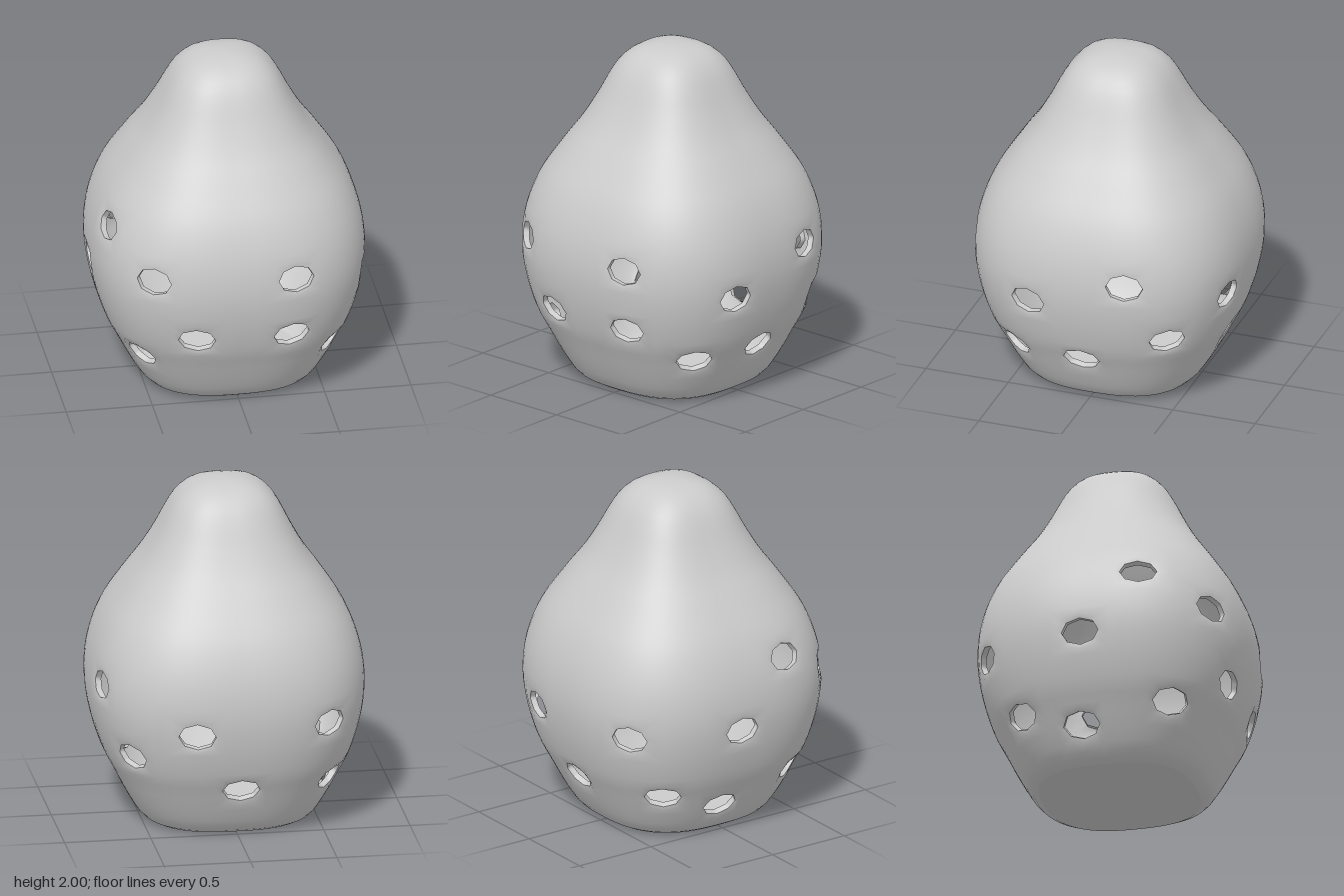
import * as THREE from 'three';
import { mergeVertices } from 'three/addons/utils/BufferGeometryUtils.js';

const COLS = 84, ROWS = 52, HALF = 3, POWER = 2.65;

// Body outline as [half width, height]
const outline = new THREE.CatmullRomCurve3([
  [0.45, 0], [0.5, 0.03], [0.55, 0.1], [0.605, 0.2], [0.655, 0.3], [0.705, 0.4], [0.765, 0.6],
  [0.79, 0.8], [0.77, 1.0], [0.7, 1.2], [0.575, 1.4], [0.47, 1.55], [0.385, 1.7],
  [0.335, 1.8], [0.28, 1.89], [0.2, 1.96], [0.1, 1.992], [0, 2],
].map(([r, y]) => new THREE.Vector3(r, y, 0)), false, 'centripetal');
outline.arcLengthDivisions = 1000;

// Holes as [x, y, z] of their centres
const holes = [
  [-0.5, 0.88, 0.64], [0.285, 0.875, 0.735], [-0.27, 0.5, 0.7], [0.27, 0.495, 0.7],
  [-0.55, 0.3, 0.43], [0.55, 0.3, 0.43], [0.74, 0.69, 0.29], [-0.7, 1.07, 0.27],
  [0.74, 0.875, -0.285], [0.64, 0.315, 0], [0.58, 0.5, -0.48], [0.26, 0.68, -0.735],
  [0, 0.31, -0.64], [-0.51, 0.7, -0.66], [-0.535, 0.3, -0.44], [-0.58, 0.19, -0.08],
  [-0.77, 0.7, -0.05],
];

// Rounded-square section: distance from the axis for a unit half width
function squareness(a) {
  return (Math.abs(Math.sin(a)) ** POWER + Math.abs(Math.cos(a)) ** POWER) ** (-1 / POWER);
}

// Point on the body; u counts columns round the axis, v counts rows upward
function surface(u, v) {
  const p = outline.getPointAt(THREE.MathUtils.clamp(v / ROWS, 0, 1));
  const a = (u / COLS) * Math.PI * 2;
  const r = Math.max(p.x, 0) * squareness(a);
  return new THREE.Vector3(r * Math.sin(a), p.y, r * Math.cos(a));
}

function outwardNormal(u, v) {
  const du = surface(u + 0.2, v).sub(surface(u - 0.2, v));
  const dv = surface(u, v + 0.2).sub(surface(u, v - 0.2));
  return du.cross(dv).normalize();
}

// Row whose height is y
function rowAt(y) {
  let lo = 0, hi = ROWS;
  for (let i = 0; i < 30; i++) {
    const mid = (lo + hi) / 2;
    if (surface(0, mid).y < y) lo = mid; else hi = mid;
  }
  return lo;
}

function meshFrom(points, index, name, material) {
  let geo = new THREE.BufferGeometry();
  geo.setAttribute('position', new THREE.Float32BufferAttribute(points.flatMap((p) => p.toArray()), 3));
  geo.setIndex(index);
  geo = mergeVertices(geo, 1e-5);
  geo.computeVertexNormals();
  const mesh = new THREE.Mesh(geo, material);
  mesh.name = name;
  return mesh;
}

export function createModel() {
  const group = new THREE.Group();
  group.name = 'perforatedShell';
  const material = new THREE.MeshStandardMaterial({ color: 0xcccccc, side: THREE.DoubleSide });
  const points = [], index = [], rimPoints = [], rimIndex = [];

  const quad = (list, out, a, b, c, d) => {
    const n = list.length;
    list.push(a, b, c, d);
    out.push(n, n + 1, n + 2, n, n + 2, n + 3);
  };
  // Band of quads between two closed loops
  const band = (list, out, outer, inner) => outer.forEach((p, i) => {
    const j = (i + 1) % outer.length;
    quad(list, out, p, outer[j], inner[j], inner[i]);
  });

  // Each hole replaces a block of cells with rings that shrink to an octagon
  const removed = new Set();
  for (const [x, y, z] of holes) {
    const u = ((Math.atan2(x, z) / (Math.PI * 2) + 1) % 1) * COLS;
    const v = rowAt(y);
    const u0 = Math.round(u) - HALF, v0 = Math.max(0, Math.round(v) - HALF), size = HALF * 2;
    for (let i = 0; i < size; i++) {
      for (let j = 0; j < size; j++) removed.add(((u0 + i + COLS) % COLS) + ',' + (v0 + j));
    }
    const border = [];
    for (let i = 0; i < size; i++) border.push([u0 + i, v0]);
    for (let i = 0; i < size; i++) border.push([u0 + size, v0 + i]);
    for (let i = 0; i < size; i++) border.push([u0 + size - i, v0 + size]);
    for (let i = 0; i < size; i++) border.push([u0, v0 + size - i]);

    const ru = 0.108 / surface(u + 0.5, v).distanceTo(surface(u - 0.5, v));
    const rv = 0.08 / surface(u, v + 0.5).distanceTo(surface(u, v - 0.5));
    const normal = outwardNormal(u, v);
    const edge = border.map((_, k) => {
      const a = (k / border.length) * Math.PI * 2 - Math.PI * 0.75;
      const off = ((a + Math.PI * 4) % (Math.PI / 4)) - Math.PI / 8;
      const r = Math.cos(Math.PI / 8) / Math.cos(off);
      return [u + ru * r * Math.cos(a), v + rv * r * Math.sin(a)];
    });
    const ring = (t) => border.map((b, k) => surface(
      THREE.MathUtils.lerp(b[0], edge[k][0], t), THREE.MathUtils.lerp(b[1], edge[k][1], t)));
    const lip = ring(1).map((p) => p.addScaledVector(normal, -0.008));
    band(points, index, ring(0), ring(0.6));
    band(points, index, ring(0.6), lip);
    // Wall of the hole, going inward
    band(rimPoints, rimIndex, lip, lip.map((p) => p.clone().addScaledVector(normal, -0.035)));
  }

  // Remaining cells of the body
  for (let i = 0; i < COLS; i++) {
    for (let j = 0; j < ROWS; j++) {
      if (removed.has(i + ',' + j)) continue;
      quad(points, index, surface(i, j), surface(i + 1, j), surface(i + 1, j + 1), surface(i, j + 1));
    }
  }
  group.add(meshFrom(points, index, 'body', material));
  group.add(meshFrom(rimPoints, rimIndex, 'holeRims', material));

  // Flat base
  const floor = [];
  for (let i = 0; i < COLS; i++) {
    const p = surface(i, 0);
    floor.push(new THREE.Vector2(p.x, p.z));
  }
  const base = new THREE.Mesh(new THREE.ShapeGeometry(new THREE.Shape(floor)).rotateX(Math.PI / 2), material);
  base.name = 'base';
  group.add(base);
  return group;
}
